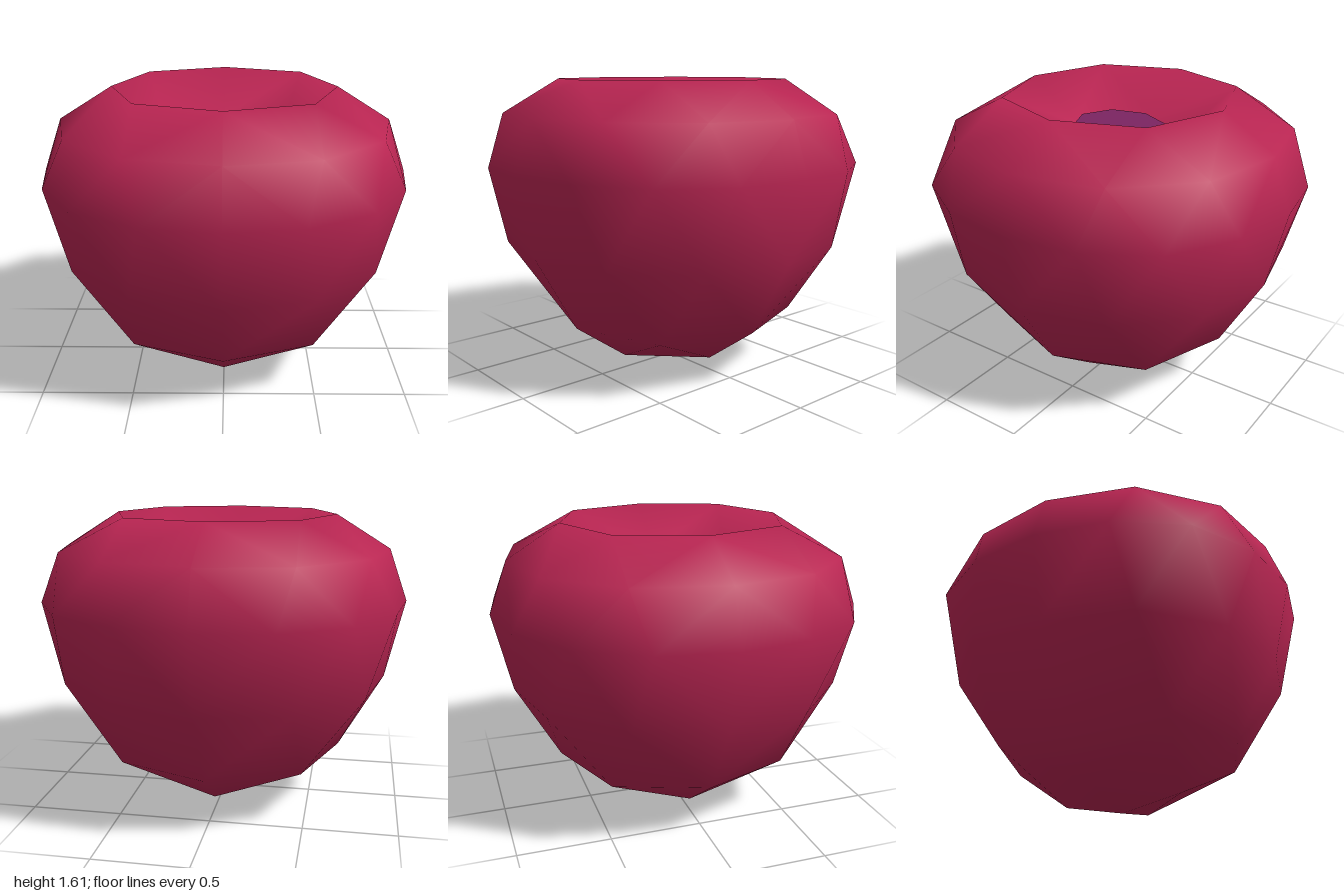
import * as THREE from 'three';

const skin = new THREE.MeshStandardMaterial({ color: 0xb92552 });
skin.name = 'crimson skin';
const core = new THREE.MeshStandardMaterial({ color: 0x7a2460 });
core.name = 'purple stem';

// Profile from bottom tip to dip centre: [radius, height]
const profile = [
  [0, 0], [0.34, 0.07], [0.66, 0.3], [0.9, 0.72], [1, 1.15],
  [0.9, 1.43], [0.61, 1.61], [0.32, 1.385], [0, 1.3],
];

// Octahedral sphere: rings of 1, 4, 8, 12, 16, 12, 8, 4, 1 points
function fruitGeometry() {
  const last = profile.length - 1;
  const rings = [];
  const positions = [];
  const index = [];
  profile.forEach(([r, y], k) => {
    const m = Math.min(k, last - k); // points per quarter
    rings.push({ m, start: positions.length / 3 });
    for (let j = 0; j < Math.max(1, 4 * m); j++) {
      const a = m ? (j / (4 * m)) * Math.PI * 2 : 0;
      // slightly squared plan, fuller on the diagonals
      const full = r * (1 + 0.037 * Math.abs(Math.sin(2 * a)) ** 3);
      positions.push(full * Math.sin(a), y, full * Math.cos(a));
    }
  });
  const at = ({ m, start }, q, j) => (m ? start + ((q * m + j) % (4 * m)) : start);
  for (let k = 0; k < last; k++) {
    const a = rings[k], b = rings[k + 1];
    for (let q = 0; q < 4; q++) {
      if (b.m > a.m) {
        for (let j = 0; j <= a.m; j++) {
          index.push(at(a, q, j), at(b, q, j + 1), at(b, q, j));
          if (j < a.m) index.push(at(a, q, j), at(a, q, j + 1), at(b, q, j + 1));
        }
      } else {
        for (let j = 0; j <= b.m; j++) {
          index.push(at(a, q, j), at(a, q, j + 1), at(b, q, j));
          if (j < b.m) index.push(at(b, q, j), at(a, q, j + 1), at(b, q, j + 1));
        }
      }
    }
  }
  const g = new THREE.BufferGeometry();
  g.setAttribute('position', new THREE.Float32BufferAttribute(positions, 3));
  g.setIndex(index);
  g.computeVertexNormals();
  return g;
}

export function createModel() {
  const group = new THREE.Group();
  group.name = 'fruit';

  const body = new THREE.Mesh(fruitGeometry(), skin);
  body.name = 'body';
  group.add(body);

  // Short eight-sided stem, leaning slightly, sunk in the dip
  const stem = new THREE.Mesh(new THREE.CylinderGeometry(0.255, 0.2, 0.12, 8), core);
  stem.name = 'stem';
  stem.position.set(0, 1.365, 0.02);
  stem.rotation.x = -0.06;
  group.add(stem);

  return group;
}
